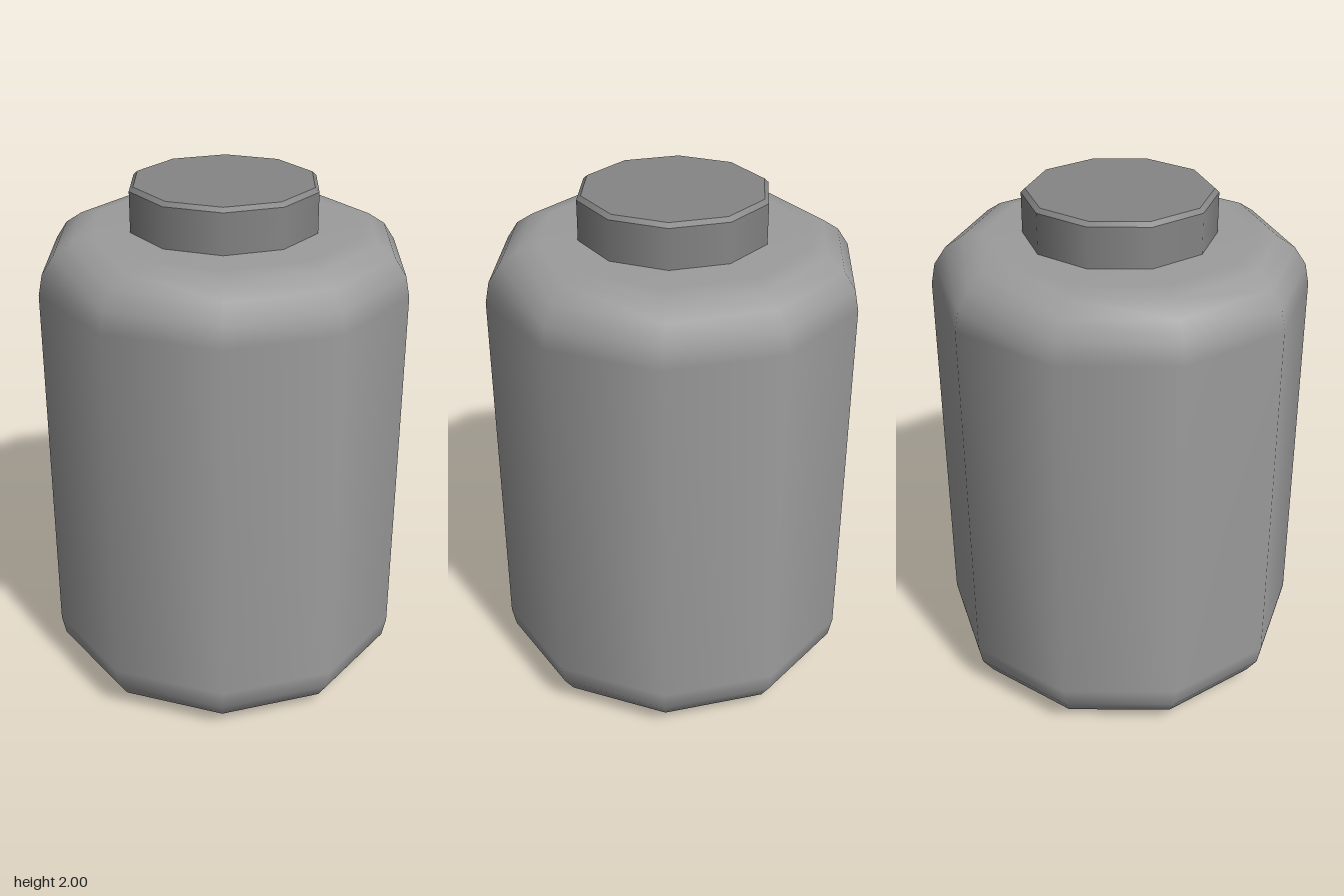
import * as THREE from 'three';

const SIDES = 10;
const START = Math.PI / 2; // puts a corner on the x axis

export function createModel() {
  const group = new THREE.Group();
  const bodyMaterial = new THREE.MeshStandardMaterial({ color: 0x9c9c9c });
  const lidMaterial = new THREE.MeshStandardMaterial({ color: 0x858585 });
  const add = (name, geometry, material, parent = group) => {
    const mesh = new THREE.Mesh(geometry, material);
    mesh.name = name;
    parent.add(mesh);
    return mesh;
  };

  // Jar body: ten-sided, smooth, with rounded shoulder and base
  const radius = 0.707, height = 1.832, round = 0.205;
  const profile = [];
  const corner = (centreY, from) => {
    for (let i = 0; i <= 4; i++) {
      const a = from + (i / 4) * (Math.PI / 2);
      profile.push(new THREE.Vector2(radius - round + round * Math.cos(a), centreY + round * Math.sin(a)));
    }
  };
  corner(round, -Math.PI / 2);
  corner(height - round, 0);
  profile.push(new THREE.Vector2(0, height));
  add('body', new THREE.LatheGeometry(profile, SIDES, START), bodyMaterial);

  // Flat underside
  const base = add('base', new THREE.CircleGeometry(radius - round, SIDES), bodyMaterial);
  base.rotation.x = Math.PI / 2;

  // Lid: side wall, narrow bevel and flat top, with sharp edges between them
  const lid = new THREE.Group();
  lid.name = 'lid';
  group.add(lid);
  const band = (name, r0, r1, y0, y1) => {
    const geometry = new THREE.CylinderGeometry(r1, r0, y1 - y0, SIDES, 1, true, START);
    add(name, geometry, lidMaterial, lid).position.y = (y0 + y1) / 2;
  };
  band('lidSide', 0.359, 0.359, 1.82, 1.985);
  band('lidBevel', 0.359, 0.343, 1.985, 2);
  const top = add('lidTop', new THREE.CircleGeometry(0.343, SIDES), lidMaterial, lid);
  top.rotation.x = -Math.PI / 2;
  top.position.y = 2;

  return group;
}
